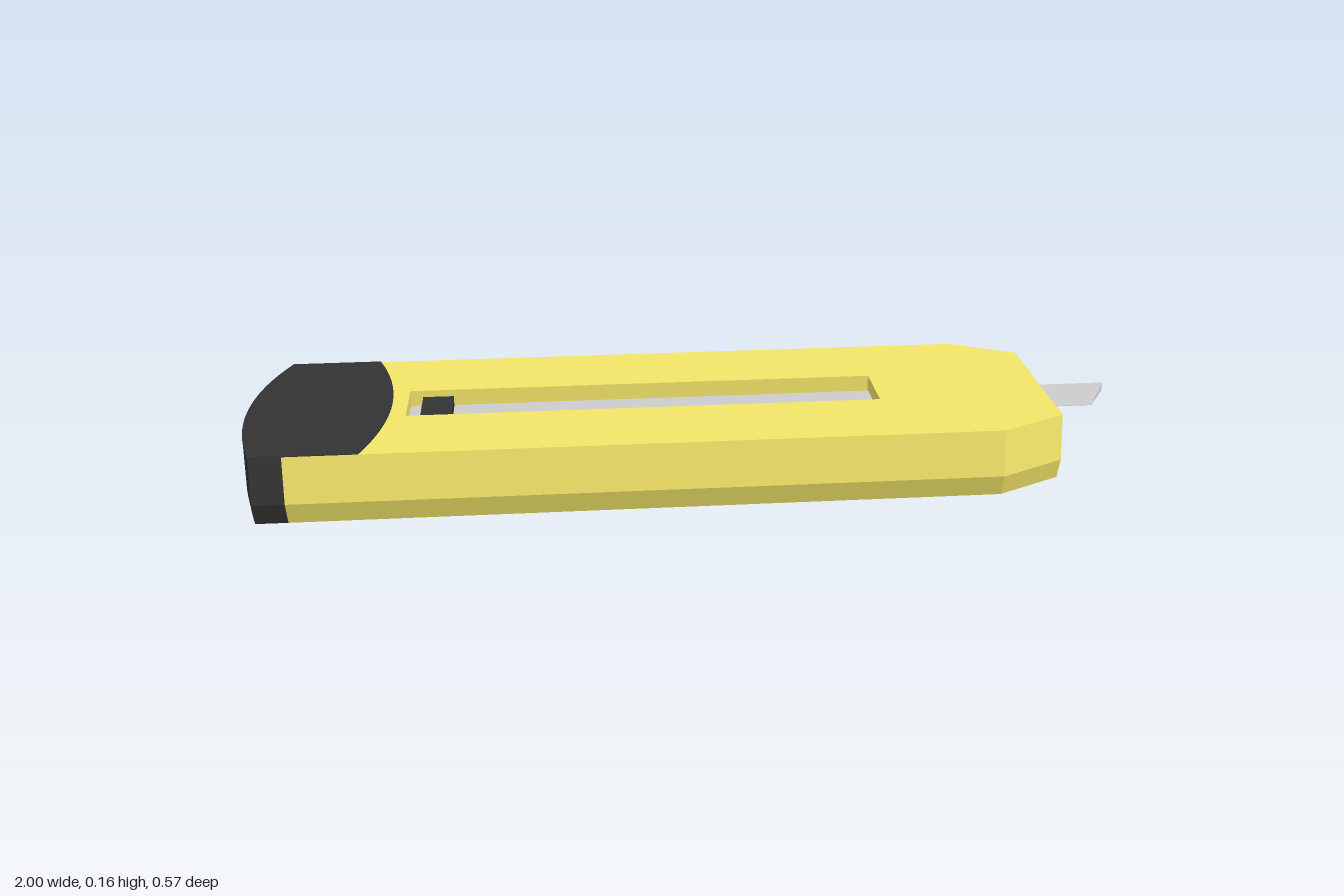
import * as THREE from 'three';

const paint = (color) => new THREE.MeshStandardMaterial({ color, flatShading: true });
const W = 0.285;      // half width at the widest level
const BEVEL = 0.018;  // how much the sides lean in at top and bottom
const WAIST = 0.052;  // height of the widest level
const TOP = 0.155;

// Upright slab between two heights; side walls lean in by a given amount at each height
function slab(shape, y0, y1, lean0 = 0, lean1 = 0) {
  const g = new THREE.ExtrudeGeometry(shape, { depth: y1 - y0, bevelEnabled: false, curveSegments: 24 });
  g.rotateX(-Math.PI / 2).translate(0, y0, 0);
  const p = g.attributes.position;
  for (let i = 0; i < p.count; i++) {
    const z = p.getZ(i);
    const lean = p.getY(i) < (y0 + y1) / 2 ? lean0 : lean1;
    const amount = THREE.MathUtils.clamp((Math.abs(z) - 0.1) / 0.1, 0, 1);
    p.setZ(i, z - Math.sign(z) * lean * amount);
  }
  g.computeVertexNormals();
  return g;
}

// Shapes are drawn with shape-y = -z
function bodyOutline() {
  return new THREE.Shape([
    [-0.89, -W], [0.67, -W], [0.82, -0.21], [0.82, 0.21], [0.67, W], [-0.89, W],
  ].map(([x, y]) => new THREE.Vector2(x, y)));
}

// Rounded rear outline, with a straight or bowed inner edge
function capOutline(half, innerX, bow) {
  const s = new THREE.Shape();
  s.moveTo(innerX, -half);
  s.quadraticCurveTo(innerX + bow, 0, innerX, half);
  s.lineTo(-0.937, half);
  s.quadraticCurveTo(-1.051, 0, -0.96, -half);
  s.closePath();
  return s;
}

export function createModel() {
  const model = new THREE.Group();
  const yellow = paint(0xf2e468);
  const black = paint(0x333333);
  const grey = paint(0xcccccc);

  const add = (name, geometry, material, parent = model) => {
    const mesh = new THREE.Mesh(geometry, material);
    mesh.name = name;
    parent.add(mesh);
    return mesh;
  };

  // Handle body: flared lower half, upper half with the slider slot
  const handle = new THREE.Group();
  handle.name = 'handle';
  model.add(handle);
  add('handleLower', slab(bodyOutline(), 0, WAIST, BEVEL, 0), yellow, handle);
  const upper = bodyOutline();
  upper.holes.push(new THREE.Path([
    [-0.645, -0.068], [-0.645, 0.075], [0.43, 0.075], [0.43, -0.068],
  ].map(([x, y]) => new THREE.Vector2(x, y))));
  add('handleUpper', slab(upper, WAIST, TOP, 0, BEVEL), yellow, handle);
  add('slotFloor', new THREE.BoxGeometry(1.075, 0.05, 0.143).translate(-0.1075, 0.075, 0.0035), yellow, handle);

  // Rear cap, wrapping the end and lying over the top
  const cap = new THREE.Group();
  cap.name = 'endCap';
  model.add(cap);
  add('capLower', slab(capOutline(W, -0.89, 0), 0, WAIST, BEVEL, 0), black, cap);
  add('capUpper', slab(capOutline(W, -0.89, 0), WAIST, TOP, 0, BEVEL), black, cap);
  add('capTop', slab(capOutline(W - BEVEL, -0.73, 0.1), TOP, TOP + 0.002), black, cap);

  // Blade: wedge section, sharp along the front, slanted tip
  const blade = new THREE.BoxGeometry(1, 1, 1);
  const p = blade.attributes.position;
  for (let i = 0; i < p.count; i++) {
    const front = p.getZ(i) > 0;
    const tip = p.getX(i) > 0;
    const under = p.getY(i) < 0;
    p.setXYZ(i,
      tip ? (front ? 0.93 : 1) : -0.645,
      0.122 - (under ? (front ? 0.001 : 0.021) : 0),
      front ? 0.068 : -0.063);
  }
  blade.computeVertexNormals();
  add('blade', blade, grey);

  // Thumb slider
  add('slider', new THREE.BoxGeometry(0.07, 0.025, 0.113).translate(-0.58, 0.1335, -0.002), black);

  return model;
}
